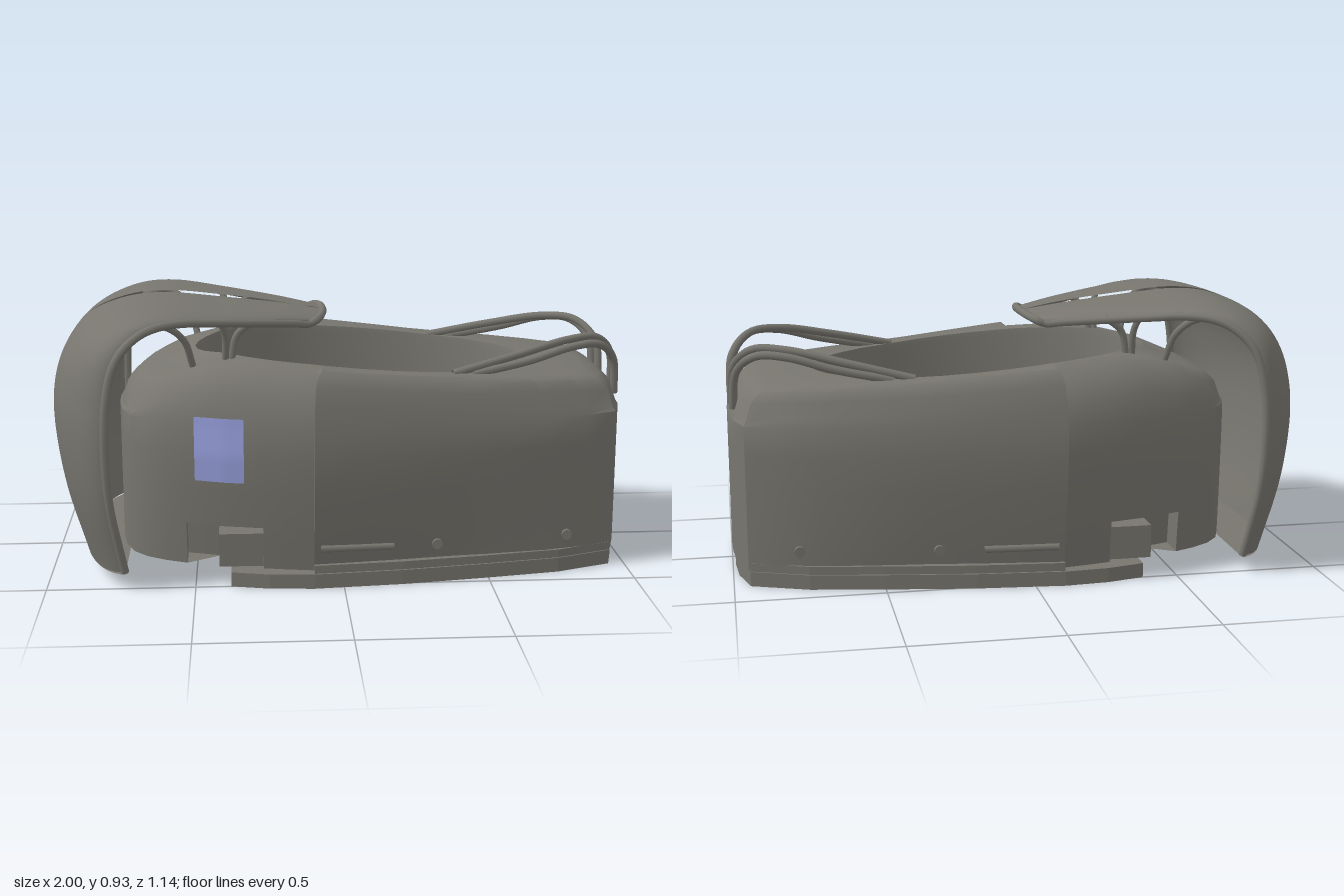
import * as THREE from 'three';
import { toCreasedNormals } from 'three/addons/utils/BufferGeometryUtils.js';

const V = (x, y, z) => new THREE.Vector3(x, y, z);
const { clamp, lerp } = THREE.MathUtils;

// Linear lookup in a table of [key, value] rows with rising keys
function lookup(table, k) {
  if (k <= table[0][0]) return table[0][1];
  for (let i = 1; i < table.length; i++) {
    const [a, va] = table[i - 1], [b, vb] = table[i];
    if (k <= b) return b === a ? vb : va + (vb - va) * (k - a) / (b - a);
  }
  return table[table.length - 1][1];
}

// Skin a list of point rings
function loft(rings, closed, crease) {
  const n = rings[0].length, pos = [], idx = [];
  rings.forEach(r => r.forEach(p => pos.push(p.x, p.y, p.z)));
  for (let i = 0; i < rings.length - 1; i++) {
    for (let j = 0; j < (closed ? n : n - 1); j++) {
      const a = i * n + j, b = i * n + (j + 1) % n, c = a + n, d = b + n;
      idx.push(a, c, b, b, c, d);
    }
  }
  const g = new THREE.BufferGeometry();
  g.setAttribute('position', new THREE.Float32BufferAttribute(pos, 3));
  g.setIndex(idx);
  g.computeVertexNormals();
  return crease ? toCreasedNormals(g, crease) : g;
}

// Half plan of the body: front section, then rear section [x, z, notched]
const frontPlan = [
  [1, 0], [0.997, 0.1], [0.985, 0.22], [0.95, 0.335], [0.85, 0.382], [0.7, 0.43], [0.5, 0.475],
  [0.35, 0.505], [0.2, 0.53], [0.05, 0.551], [-0.1, 0.57]
];
const rearPlan = [
  [-0.1, 0.552], [-0.2, 0.533], [-0.27, 0.517], [-0.27, 0.517, 1], [-0.4, 0.485, 1], [-0.53, 0.435, 1],
  [-0.53, 0.435], [-0.6, 0.4], [-0.67, 0.35], [-0.72, 0.285], [-0.75, 0.2], [-0.765, 0.1], [-0.77, 0]
];
const topTable = [[-0.77, 0.66], [-0.6, 0.72], [-0.4, 0.755], [-0.1, 0.74], [0.4, 0.7], [0.95, 0.675]];
const topY = x => lookup(topTable, x);
// Body side levels [height, width scale]
const sides = [[0.05, 0.9], [0.12, 0.92], [0.2, 0.945], [0.2, 0.945], [0.33, 0.975], [0.45, 1], [0.55, 0.99]];
// Shoulder levels [drop below top, front width scale, rear width scale, length scale]
const shoulder = [[0.11, 0.97, 0.95, 0.99], [0.05, 0.945, 0.88, 0.968], [0.015, 0.915, 0.8, 0.925], [0, 0.88, 0.745, 0.86]];

// The side taper fades out towards the upright front panel
const taper = (x, s) => lerp(s, 1, clamp((x - 0.35) / 0.6, 0, 1));
const sideZ = (x, y) =>
  lookup((x > -0.1 ? frontPlan : rearPlan).slice().reverse(), x) * taper(x, lookup(sides, y));

function bodyGeometry() {
  const half = [...frontPlan.map(([x, z]) => ({ x, z })), ...rearPlan.map(([x, z, notch]) => ({ x, z, notch, rear: true }))];
  const loop = [...half, ...half.slice(1, -1).reverse().map(p => ({ ...p, z: -p.z }))];
  const rings = [loop.map(() => V(0.1, 0.05, 0))];
  sides.forEach(([y, s], i) => rings.push(loop.map(({ x, z, notch }) =>
    V(x, y, z * taper(x, s) - (notch && i < 3 ? Math.sign(z) * 0.11 : 0)))));
  shoulder.forEach(([d, front, rear, l]) => rings.push(loop.map(p =>
    V(0.1 + (p.x - 0.1) * l, topY(p.x) - d, p.z * (p.rear ? rear : front)))));
  // Basin: oval rim, steep wall, flat floor
  const oval = (k, height) => rings.push(loop.map(p => {
    const a = Math.atan2(p.z / 0.39, (p.x - 0.1) / 0.6);
    const x = 0.1 + 0.6 * k * Math.cos(a);
    return V(x, height(x), 0.39 * k * Math.sin(a));
  }));
  oval(1, x => topY(x) - 0.005);
  oval(0.99, x => topY(x) - 0.025);
  [[0.965, 0.32], [0.95, 0.25], [0.92, 0.21], [0.86, 0.2], [0, 0.2]].forEach(([k, y]) => oval(k, () => y));
  return loft(rings, true, 0.6);
}

// Canopy guide curves: centre line and outer edge
const curve = pts => new THREE.CatmullRomCurve3(pts.map(p => V(...p)), false, 'catmullrom');
const spine = curve([[-0.9, 0.05, 0], [-0.97, 0.3, 0], [-1, 0.55, 0], [-0.97, 0.72, 0], [-0.88, 0.85, 0],
  [-0.75, 0.912, 0], [-0.6, 0.93, 0], [-0.4, 0.912, 0], [-0.2, 0.888, 0], [-0.045, 0.862, 0]]);
const edge = curve([[-0.735, 0.06, 0.505], [-0.775, 0.3, 0.545], [-0.785, 0.5, 0.558], [-0.775, 0.67, 0.55],
  [-0.74, 0.79, 0.53], [-0.66, 0.865, 0.485], [-0.55, 0.887, 0.43], [-0.4, 0.874, 0.35], [-0.23, 0.855, 0.255], [-0.1, 0.838, 0.175]]);

function canopyPoint(t, f, side) {
  const c = spine.getPoint(t), e = edge.getPoint(t);
  const power = lerp(1.1, 0.7, clamp((t - 0.3) / 0.25, 0, 1));
  const k = Math.pow(Math.max(0, Math.cos(f * Math.PI / 2)), power);
  const u = clamp((t - 0.45) / 0.54, 0, 1);
  const slit = 0.024 * Math.pow(Math.sin(u * Math.PI), 0.6);
  return V(e.x + (c.x - e.x) * k, e.y + (c.y - e.y) * k, side * (slit + (e.z - slit) * Math.sin(f * Math.PI / 2)));
}

export function createModel() {
  const model = new THREE.Group();
  const shell = new THREE.MeshStandardMaterial({ color: 0x77756e, side: THREE.DoubleSide });
  shell.name = 'warm grey';
  const tint = new THREE.MeshStandardMaterial({ color: 0x97a0dc });
  tint.name = 'pale violet';
  const add = (name, geo, mat = shell) => {
    const m = new THREE.Mesh(geo, mat);
    m.name = name;
    model.add(m);
    return m;
  };
  const tube = (name, pts, r, seg = 24) =>
    add(name, new THREE.TubeGeometry(new THREE.CatmullRomCurve3(pts), seg, r, 8));

  // Body with basin
  add('tubBody', bodyGeometry());

  // Base skirt: long lower lip, shorter upper step
  const skirt = [[0.99, 0.1], [0.98, 0.22], [0.945, 0.345], [0.75, 0.42], [0.5, 0.465], [0.2, 0.512], [-0.1, 0.54], [-0.25, 0.53], [-0.38, 0.5]];
  [[skirt, 0.05, 0, 1], [skirt.slice(0, 7), 0.028, 0.05, 0.985]].forEach(([half, depth, y, s]) => {
    const outline = [...half, ...half.map(([x, z]) => [x, -z]).reverse()];
    const shape = new THREE.Shape(outline.map(([x, z]) => new THREE.Vector2(x, z * s)));
    const g = new THREE.ExtrudeGeometry(shape, { depth, bevelEnabled: false });
    add('baseSkirt', g.rotateX(-Math.PI / 2).translate(0, y, 0));
  });

  // Side window, following the wall
  const pane = new THREE.PlaneGeometry(0.165, 0.22, 10, 10).translate(-0.415, 0.47, 0);
  const pp = pane.attributes.position;
  for (let i = 0; i < pp.count; i++) pp.setZ(i, sideZ(pp.getX(i), pp.getY(i)) + 0.007);
  pane.computeVertexNormals();
  add('sideWindow', pane, tint);

  // Canopy floor
  const sole = [];
  for (let i = -12; i <= 12; i++) {
    const p = canopyPoint(0, Math.abs(i) / 12, Math.sign(i));
    sole.push(new THREE.Vector2(p.x, p.z));
  }
  add('canopyFloor', new THREE.ShapeGeometry(new THREE.Shape(sole)).rotateX(Math.PI / 2).translate(0, 0.052, 0));

  for (const s of [1, -1]) {
    // Canopy half with rolled rim
    const rows = [], rim = [];
    for (let i = 0; i <= 60; i++) {
      const row = [];
      for (let j = 0; j <= 20; j++) row.push(canopyPoint(i / 60, j / 20, s));
      rows.push(row);
      if (i % 3 === 0) rim.push(row[20]);
    }
    for (let j = 17; j >= 0; j -= 3) rim.push(canopyPoint(1, j / 20, s));
    rim.push(canopyPoint(1, 0, s));
    add('canopy', loft(rows, false));
    tube('canopyRim', rim, 0.014, 90);

    // Canopy struts
    [[[-0.39, 0.73, 0.27], [-0.39, 0.82, 0.29], [-0.41, 0.89, 0.32]],
      [[-0.37, 0.73, 0.27], [-0.35, 0.82, 0.275], [-0.29, 0.872, 0.28]],
      [[-0.5, 0.72, 0.3], [-0.53, 0.82, 0.34], [-0.6, 0.872, 0.38], [-0.7, 0.85, 0.44]]
    ].forEach(p => tube('canopyStrut', p.map(([x, y, z]) => V(x, y, z * s)), 0.012));

    // Arched hand rails
    [[[0.38, 0.695, 0.36], [0.6, 0.745, 0.31], [0.8, 0.785, 0.24], [0.91, 0.78, 0.18], [0.975, 0.71, 0.115], [0.985, 0.58, 0.092]],
      [[0.45, 0.69, 0.35], [0.65, 0.73, 0.325], [0.8, 0.77, 0.295], [0.9, 0.77, 0.255], [0.965, 0.71, 0.2], [0.98, 0.58, 0.175]]
    ].forEach(p => tube('handRail', p.map(([x, y, z]) => V(x, y, z * s)), 0.014, 40));

    // Notch block
    add('notchBlock', new THREE.BoxGeometry(0.15, 0.115, 0.1)).position.set(-0.345, 0.113, s * 0.405);

    // Skirt fittings
    [0.32, 0.78].forEach(x => {
      const knob = add('sideKnob', new THREE.CylinderGeometry(0.018, 0.018, 0.03, 12).rotateX(Math.PI / 2));
      knob.position.set(x, 0.13, s * sideZ(x, 0.13));
    });
    tube('sideRod', [V(-0.08, 0.135, s * sideZ(-0.08, 0.135)), V(0.17, 0.13, s * sideZ(0.17, 0.13))], 0.013, 4);
  }
  return model;
}
